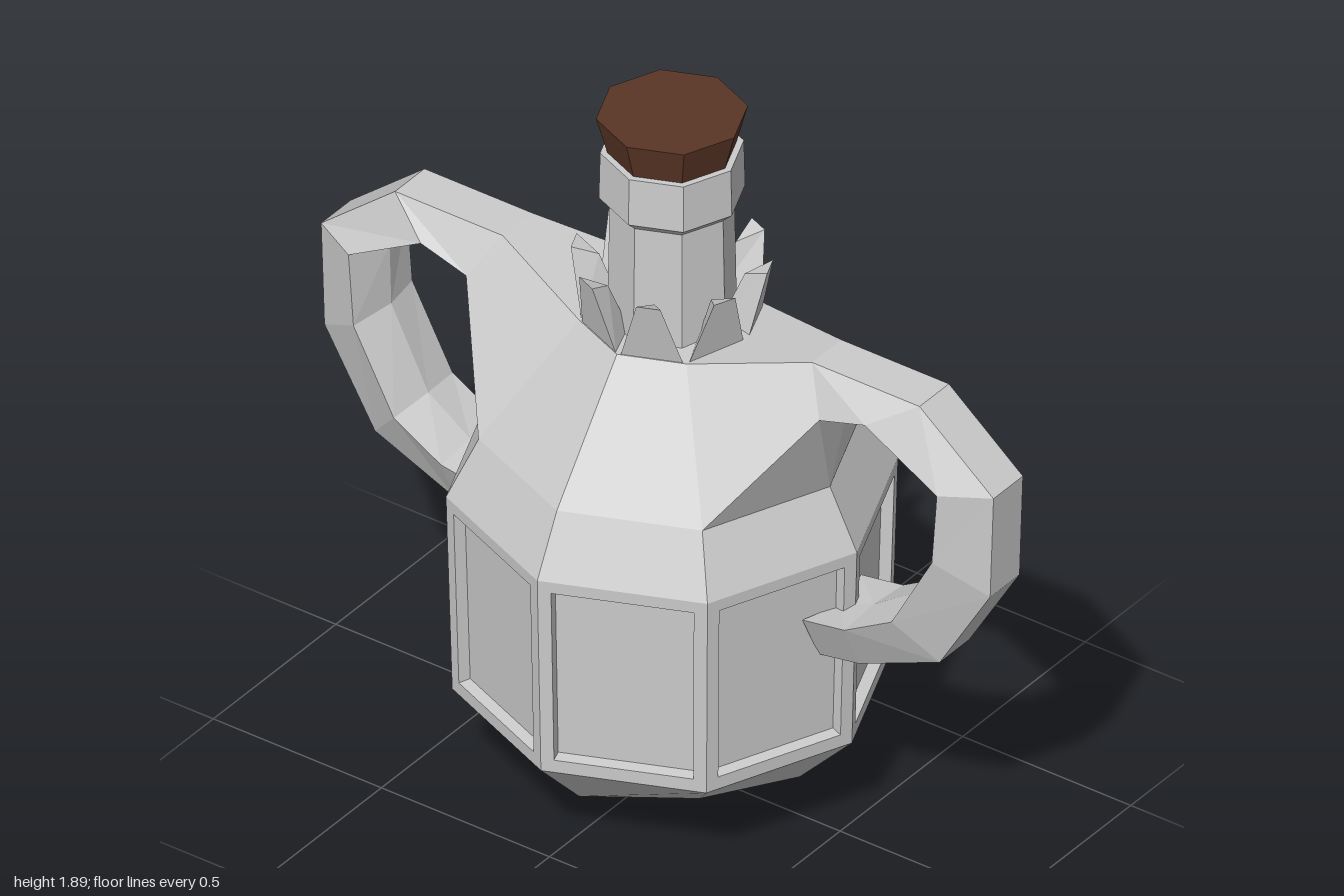
import * as THREE from 'three';

const V = (x, y, z) => new THREE.Vector3(x, y, z);
const grey = new THREE.MeshStandardMaterial({ color: 0xcccccc, flatShading: true });
const brown = new THREE.MeshStandardMaterial({ color: 0x5a3626, flatShading: true });

// Flat-shaded mesh from convex polygons, each split into a fan
function polyMesh(name, polys) {
  const pts = [];
  for (const p of polys)
    for (let i = 1; i < p.length - 1; i++) pts.push(p[0], p[i], p[i + 1]);
  const geo = new THREE.BufferGeometry().setFromPoints(pts);
  geo.computeVertexNormals();
  const mesh = new THREE.Mesh(geo, grey);
  mesh.name = name;
  return mesh;
}

// Eight-sided ring with separate values for axis and diagonal corners
function ring(r, y, rDiag = r, yDiag = y) {
  return Array.from({ length: 8 }, (_, i) => {
    const a = i * Math.PI / 4, rad = i % 2 ? rDiag : r;
    return V(Math.sin(a) * rad, i % 2 ? yDiag : y, Math.cos(a) * rad);
  });
}

function band(lower, upper) {
  return lower.map((p, i) => {
    const j = (i + 1) % lower.length;
    return [p, lower[j], upper[j], upper[i]];
  });
}

// Wall face with a recessed panel
function recessed([a, b, c, d]) {
  const n = b.clone().sub(a).cross(d.clone().sub(a)).normalize();
  const at = (u, v) => a.clone().lerp(b, u).lerp(d.clone().lerp(c, u), v);
  const uv = m => [at(m, m * 0.8), at(1 - m, m * 0.8), at(1 - m, 1 - m * 0.72), at(m, 1 - m * 0.72)];
  const rim = uv(0.08);
  const floor = uv(0.088).map(p => p.addScaledVector(n, -0.03));
  return [...band([a, b, c, d], rim), ...band(rim, floor), floor];
}

// Shoulder quarters, flared out into the handle roots at front and back
function shoulder() {
  const C = V(0, 1.31, 0), A = V(0.225, 1.31, 0), D = V(0.16, 1.31, 0.16), N = V(0, 1.325, 0.225);
  const X = V(0.47, 0.99, 0), R = V(0.333, 0.99, 0.333), F = V(0, 0.99, 0.47);
  const T = V(0.06, 1.38, 0.46), M = V(0, 1.38, 0.46), S = V(0.12, 1.27, 0.525), K = V(0, 1.25, 0.525);
  const quarter = [
    [A, D, R, X], [D, S, R], [D, T, S], [D, N, T], [N, M, T],
    [R, S, F], [F, S, K], [C, D, A], [C, N, D],
  ];
  const polys = [];
  for (const sx of [1, -1]) for (const sz of [1, -1])
    for (const q of quarter) {
      const p = q.map(v => V(v.x * sx, v.y, v.z * sz));
      polys.push(sx * sz < 0 ? p.reverse() : p);
    }
  return polys;
}

// Handle sections: outer edge, side edge and inner ridge, each as z, y
function handle() {
  const sections = [
    [0.46, 1.38, 0.525, 1.27, 0.525, 1.25],
    [0.78, 1.38, 0.66, 1.31, 0.66, 1.265],
    [1.0, 1.2, 0.875, 1.19, 0.84, 1.17],
    [0.99, 0.91, 0.86, 0.99, 0.835, 1.0],
    [0.84, 0.66, 0.74, 0.77, 0.725, 0.785],
    [0.60, 0.56, 0.60, 0.69, 0.60, 0.70],
    [0.48, 0.54, 0.475, 0.67, 0.50, 0.66],
  ].map(([oz, oy, sz, sy, rz, ry]) => [
    V(0.06, oy, oz), V(-0.06, oy, oz), V(-0.12, sy, sz), V(0, ry, rz), V(0.12, sy, sz),
  ]);
  const polys = [];
  for (let i = 0; i < sections.length - 1; i++) polys.push(...band(sections[i], sections[i + 1]));
  polys.push(sections.at(-1));
  return polys;
}

// One blunt, outward-leaning spike of the collar
function spike() {
  const bl = V(-0.078, 1.305, 0.205), br = V(0.078, 1.305, 0.205), bk = V(0, 1.305, 0.12);
  const tl = V(-0.03, 1.48, 0.243), tr = V(0.03, 1.48, 0.243), tk = V(0, 1.45, 0.18);
  return [[bl, br, tr, tl], [br, bk, tk, tr], [bk, bl, tl, tk], [tl, tr, tk]];
}

export function createModel() {
  const model = new THREE.Group();
  model.name = 'flask';

  // Faceted base
  const under = ring(0.38, 0.11, 0.425, 0.18);
  const foot = ring(0.535, 0.27), waist = ring(0.55, 0.83), top = ring(0.47, 0.99);
  const base = band(under, foot);
  for (let i = 0; i < 8; i += 2)
    base.push([V(0, 0, 0), under[(i + 2) % 8], under[i + 1], under[i]]);
  model.add(polyMesh('base', base));

  // Panelled wall and shoulder
  model.add(polyMesh('panelledWall', band(foot, waist).flatMap(recessed)));
  model.add(polyMesh('shoulder', [...band(waist, top), ...shoulder()]));

  // Handles, front and back
  ['frontHandle', 'backHandle'].forEach((name, i) => {
    const h = polyMesh(name, handle());
    h.rotation.y = i * Math.PI;
    model.add(h);
  });

  // Spiked collar
  const collar = new THREE.Group();
  collar.name = 'spikedCollar';
  for (let i = 0; i < 8; i++) {
    const s = polyMesh('spike', spike());
    s.rotation.y = (i + 0.5) * Math.PI / 4;
    collar.add(s);
  }
  model.add(collar);

  // Neck with thick lip
  const profile = [[0.158, 1.3], [0.152, 1.635], [0.178, 1.66], [0.175, 1.79], [0, 1.79]];
  const neck = new THREE.Mesh(
    new THREE.LatheGeometry(profile.map(([x, y]) => new THREE.Vector2(x, y)), 8), grey);
  neck.name = 'neck';
  model.add(neck);

  // Stopper
  const cork = new THREE.Mesh(new THREE.CylinderGeometry(0.185, 0.155, 0.11, 8), brown);
  cork.name = 'cork';
  cork.position.y = 1.835;
  model.add(cork);

  return model;
}
